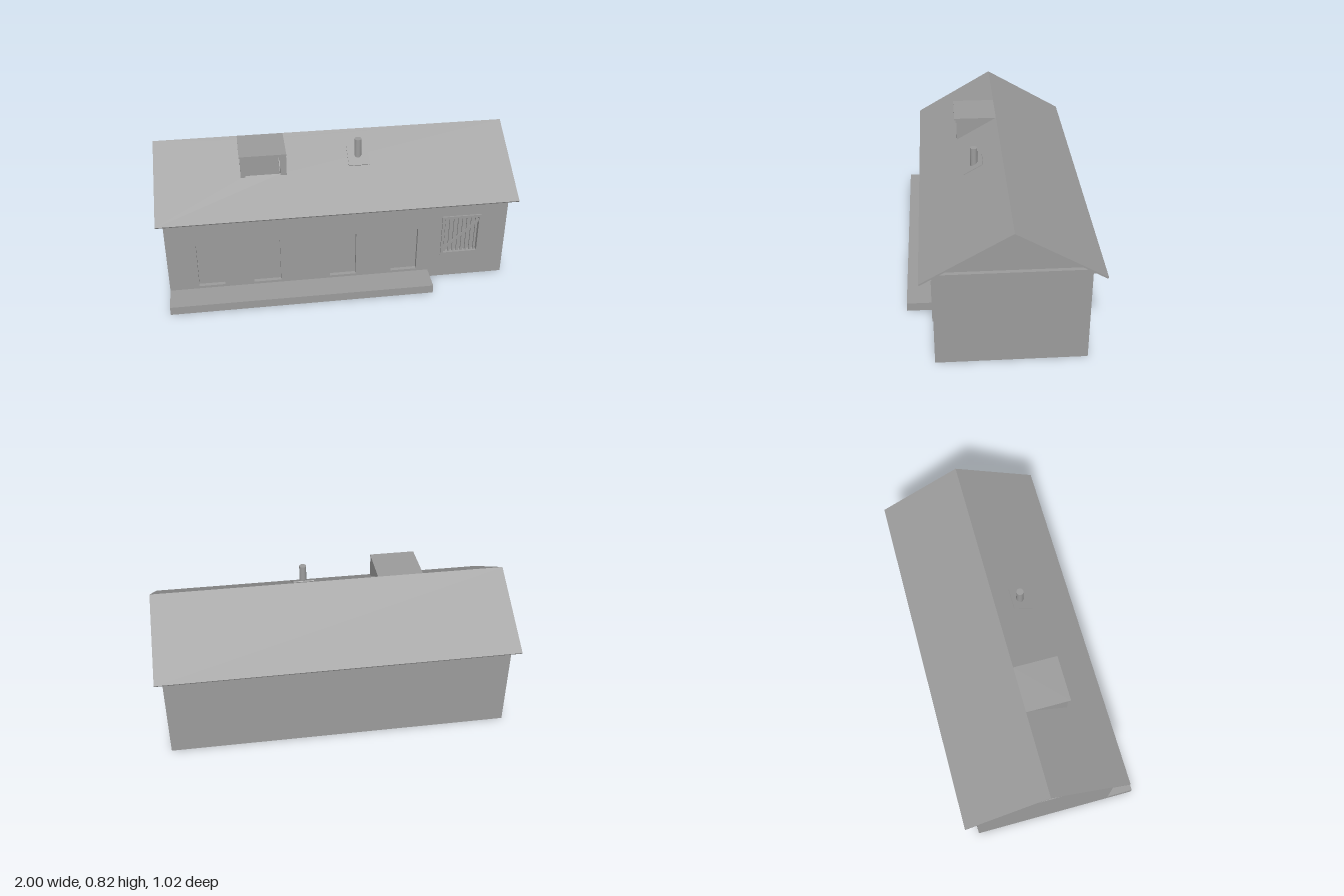
import * as THREE from 'three';

const mat = new THREE.MeshStandardMaterial({ color: 0x9c9c9c, side: THREE.DoubleSide, flatShading: true });
const smoothMat = new THREE.MeshStandardMaterial({ color: 0x9c9c9c });
const PY = 2, NY = 3, PZ = 4; // box faces: top, bottom, front

export function createModel() {
  const model = new THREE.Group();

  function add(name, geo, x = 0, y = 0, z = 0, parent = model, material = mat) {
    const m = new THREE.Mesh(geo, material);
    m.name = name;
    m.position.set(x, y, z);
    parent.add(m);
    return m;
  }
  // Box given by its limits; any faces listed in "open" are left out
  function box(name, x0, x1, y0, y1, z0, z1, open = [], parent = model) {
    const g = new THREE.BoxGeometry(x1 - x0, y1 - y0, z1 - z0);
    const index = Array.from(g.index.array).filter((_, i) => !open.includes(Math.floor(i / 6)));
    g.setIndex(index);
    g.clearGroups();
    return add(name, g, (x0 + x1) / 2, (y0 + y1) / 2, (z0 + z1) / 2, parent);
  }
  function polygon(points, Type = THREE.Shape) {
    return new Type(points.map(p => new THREE.Vector2(...p)));
  }
  const rect = (x0, x1, y0, y1, Type) => polygon([[x0, y0], [x1, y0], [x1, y1], [x0, y1]], Type);
  const extrude = (shape, depth) => new THREE.ExtrudeGeometry(shape, { depth, bevelEnabled: false });

  // Walls: thin shell, open below, with door and window openings in front
  const X0 = -0.965, X1 = 0.962, ZF = 0.355, ZB = -0.44, H = 0.53;
  const doors = [[-0.80, -0.655], [-0.49, -0.335], [-0.055, 0.095], [0.30, 0.45]];
  const pane = [0.603, 0.8, 0.17, 0.4];
  box('sideAndBackWalls', X0, X1, 0, H, ZB, ZF, [PY, NY, PZ]);
  const front = rect(X0, X1, 0, H);
  for (const [a, b] of doors) front.holes.push(rect(a, b, 0.065, 0.343, THREE.Path));
  front.holes.push(rect(...pane, THREE.Path));
  add('frontWall', new THREE.ShapeGeometry(front), 0, 0, ZF);

  // Recessed doors
  for (const [a, b] of doors) box('door', a, b, 0.065, 0.343, ZF - 0.022, ZF, [PZ]);
  box('doorHandle', -0.798, -0.793, 0.185, 0.208, ZF - 0.022, ZF - 0.012);

  // Barred window with raised frame
  box('windowRecess', ...pane, ZF - 0.022, ZF, [PZ]);
  const frame = rect(0.588, 0.815, 0.152, 0.415);
  frame.holes.push(rect(...pane, THREE.Path));
  add('windowFrame', extrude(frame, 0.008), 0, 0, ZF);
  for (let i = 0; i < 8; i++) {
    const x = 0.614 + i * 0.025;
    box('windowBar', x - 0.006, x + 0.006, 0.17, 0.4, ZF - 0.014, ZF - 0.004);
  }
  const brace = polygon([[0.603, 0.18], [0.603, 0.2], [0.8, 0.385], [0.8, 0.365]]);
  add('windowBrace', extrude(brace, 0.006), 0, 0, ZF - 0.005);

  // Porch step
  box('porch', X0, 0.52, 0, 0.05, ZF, 0.507, [NY]);

  // Wall plate around the top of the walls, and ceiling beams
  const plate = rect(-0.97, 0.967, -0.37, 0.45);
  plate.holes.push(rect(-0.925, 0.92, -0.335, 0.42, THREE.Path));
  add('wallPlate', extrude(plate, 0.025), 0, H, 0).rotation.x = -Math.PI / 2;
  for (const x of [-0.9, -0.17, 0.56]) box('ceilingBeam', x - 0.01, x + 0.01, H, 0.555, -0.43, 0.345);

  // Gables, set in from the plate edge
  const RY = 0.8, RZ = -0.044;
  const gable = polygon([[RZ - 0.4, 0.555], [RZ + 0.4, 0.555], [RZ, 0.79]]);
  for (const x of [-0.948, 0.945]) {
    add('gable', new THREE.ShapeGeometry(gable), x, 0, 0).rotation.y = -Math.PI / 2;
  }

  // Roof: two sloping sheets, the front one cut out under the dormer
  const run = 0.465, drop = 0.272, len = Math.hypot(run, drop), pitch = Math.atan2(drop, run);
  function roofSlope(name, isFront) {
    const sheet = rect(-1, 1, -len, 0);
    if (isFront) sheet.holes.push(rect(-0.5, -0.31, -0.262, -0.03, THREE.Path));
    const g = extrude(sheet, 0.009);
    g.translate(0, 0, -0.009);
    g.rotateX(pitch - Math.PI / 2);
    if (!isFront) g.rotateY(Math.PI);
    add(name, g, 0, RY, RZ);
  }
  roofSlope('frontRoof', true);
  roofSlope('backRoof', false);

  // Dormer
  const dormer = new THREE.Group();
  dormer.name = 'dormer';
  model.add(dormer);
  const cheek = polygon([[0.19, 0.66], [0.19, 0.792], [-0.03, 0.792]]);
  for (const x of [-0.517, -0.273]) {
    add('dormerCheek', extrude(cheek, 0.01), x, 0, 0, dormer).rotation.y = -Math.PI / 2;
  }
  box('dormerPost', -0.527, -0.5, 0.662, 0.792, 0.175, 0.191, [], dormer);
  box('dormerPost', -0.308, -0.273, 0.662, 0.792, 0.175, 0.191, [], dormer);
  box('dormerLintel', -0.5, -0.308, 0.775, 0.792, 0.175, 0.191, [], dormer);
  box('dormerRoof', -0.532, -0.273, 0.791, 0.8, RZ, 0.204, [], dormer);

  // Chimney pipe and the flashing sheet it passes through
  const pipe = new THREE.CylinderGeometry(0.02, 0.02, 0.125, 24);
  add('chimneyPipe', pipe, 0.137, 0.7535, 0.108, model, smoothMat);
  const flashing = new THREE.BoxGeometry(0.12, 0.008, 0.125);
  add('chimneyFlashing', flashing, 0.138, RY - (0.113 - RZ) * drop / run + 0.001, 0.113).rotation.x = pitch;

  return model;
}
